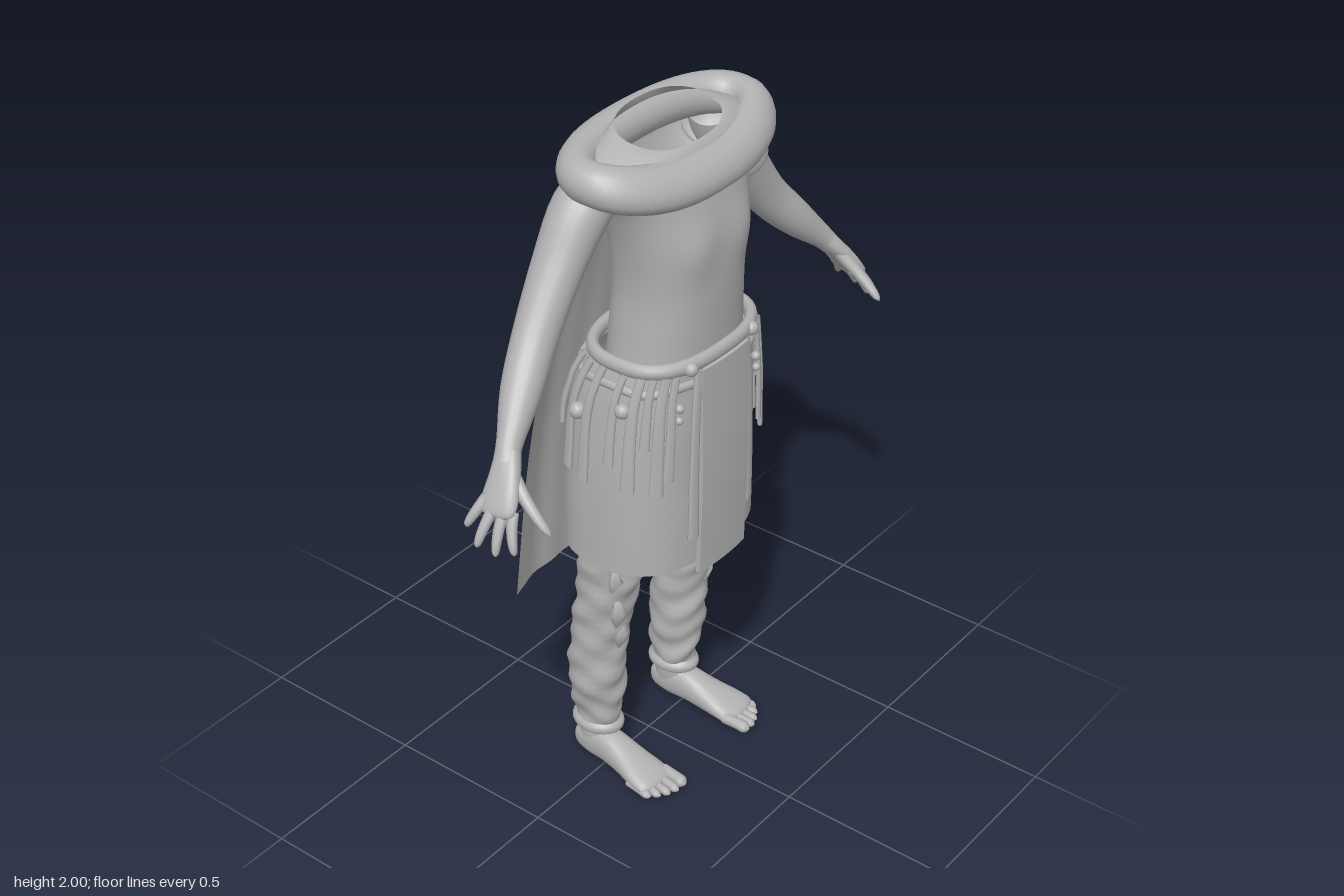
import * as THREE from 'three';

const cloth = new THREE.MeshStandardMaterial({ color: 0xb2b2b2, side: THREE.DoubleSide });
cloth.name = 'plain grey';

const V = (x, y, z) => new THREE.Vector3(x, y, z);
const spow = (c, n) => Math.sign(c) * Math.abs(c) ** (2 / n);

// Grid surface from a point rule f(u, v), with u optionally wrapped
function grid(f, nu, nv, wrapU = true, wrapV = false) {
  const pos = [], idx = [], cu = wrapU ? nu : nu + 1, rows = wrapV ? nv : nv + 1;
  for (let j = 0; j < rows; j++)
    for (let i = 0; i < cu; i++) pos.push(...f(i / nu, j / nv).toArray());
  for (let j = 0; j < nv; j++)
    for (let i = 0; i < nu; i++) {
      const i2 = (i + 1) % cu, j2 = (j + 1) % rows;
      const a = j * cu + i, b = j * cu + i2, c = j2 * cu + i, d = j2 * cu + i2;
      idx.push(a, b, d, a, d, c);
    }
  const g = new THREE.BufferGeometry();
  g.setAttribute('position', new THREE.Float32BufferAttribute(pos, 3));
  g.setIndex(idx);
  g.computeVertexNormals();
  return g;
}

// Smooth interpolation through rows of numbers
function sample(rows, t) {
  const m = rows.length - 1, k = Math.min(m - 1, Math.floor(t * m)), f = t * m - k;
  const at = i => rows[Math.max(0, Math.min(m, i))];
  return rows[0].map((_, c) => {
    const [p, q, r, s] = [at(k - 1)[c], at(k)[c], at(k + 1)[c], at(k + 2)[c]];
    return q + 0.5 * f * (r - p + f * (2 * p - 5 * q + 4 * r - s + f * (3 * (q - r) + s - p)));
  });
}

// Loft along rows of [x, y, z, radius along ref, radius across]
function limb(rows, ref, { seg = 16, steps = 4, n = 2, upright = false, warp } = {}) {
  const nv = (rows.length - 1) * steps;
  return grid((u, v) => {
    const r = sample(rows, v), c = V(...r.slice(0, 3));
    const T = upright ? V(0, 1, 0) : V(...sample(rows, Math.min(1, v + 0.01)).slice(0, 3))
      .sub(V(...sample(rows, Math.max(0, v - 0.01)).slice(0, 3))).normalize();
    const N = ref.clone().addScaledVector(T, -T.dot(ref)).normalize();
    const B = T.clone().cross(N), a = u * Math.PI * 2;
    const p = c.addScaledVector(N, Math.max(0.0005, r[3]) * spow(Math.cos(a), n))
      .addScaledVector(B, Math.max(0.0005, r[4]) * spow(Math.sin(a), n));
    if (warp) warp(p, a, v);
    return p;
  }, seg, nv);
}

const X = V(1, 0, 0), Z = V(0, 0, 1);

// Skirt rows, bottom to top, shared with everything that hangs on it
const skirtRows = [
  [0, 0.755, 0.035, 0.275, 0.205], [0, 0.9, 0.035, 0.275, 0.205], [0, 1.05, 0.038, 0.272, 0.2],
  [0, 1.2, 0.043, 0.262, 0.197], [0, 1.3, 0.055, 0.25, 0.18], [0, 1.39, 0.08, 0.225, 0.155]];
function skirtPoint(a, y, out) {
  let k = 0;
  while (k < skirtRows.length - 2 && skirtRows[k + 1][1] < y) k++;
  const p = skirtRows[k], q = skirtRows[k + 1], f = (y - p[1]) / (q[1] - p[1]);
  const mix = i => p[i] + (q[i] - p[i]) * f;
  return V((mix(3) + out) * spow(Math.cos(a), 2.6), y, mix(2) + (mix(4) + out) * spow(Math.sin(a), 2.6));
}

export function createModel() {
  const model = new THREE.Group();
  const add = (name, geo, parent = model) => {
    const m = new THREE.Mesh(geo, cloth);
    m.name = name;
    parent.add(m);
    return m;
  };

  // Torso with chest swell and open neck
  add('torso', limb([
    [0, 1.35, 0.085, 0.205, 0.145], [0, 1.45, 0.09, 0.195, 0.145], [0, 1.57, 0.095, 0.188, 0.145],
    [0, 1.7, 0.092, 0.205, 0.145], [0, 1.8, 0.075, 0.235, 0.145], [0, 1.88, 0.06, 0.28, 0.14],
    [0, 1.935, 0.06, 0.26, 0.12], [0, 1.965, 0.06, 0.2, 0.105], [0, 1.975, 0.06, 0.165, 0.1]],
  X, { seg: 48, n: 2.3, upright: true, warp: (p, a, v) => {
    if (p.z > 0.1) p.z += 0.014 * Math.exp(-(((Math.abs(p.x) - 0.1) / 0.06) ** 2) - ((p.y - 1.69) / 0.07) ** 2);
    if (v > 0.7) p.y += Math.sin(a) * 0.025 * (v - 0.7) / 0.3;
  } }));

  // Rolled cowl around the shoulders, dipping at the front
  add('cowl', grid((u, v) => {
    const a = v * Math.PI * 2, b = u * Math.PI * 2, s = Math.sin(a), front = Math.max(0, s);
    const y = 1.918 - 0.04 * front ** 2 + 0.008 * Math.max(0, -s);
    const out = 0.053 * Math.cos(b) - 0.018 * front * Math.sin(b);
    return V((0.305 + out) * spow(Math.cos(a), 2.3), y + 0.056 * Math.sin(b), 0.06 + (0.13 + out) * spow(s, 2.3));
  }, 16, 56, true, true));

  // Cape
  const capeRows = [[1.93, 0.2, -0.09], [1.7, 0.215, -0.108], [1.4, 0.238, -0.17], [1.0, 0.265, -0.233], [0.535, 0.288, -0.272]];
  add('cape', grid((u, v) => {
    const [y, w, z] = sample(capeRows, v), k = u * 2 - 1;
    return V(w * k, y, z + 0.035 * k ** 4 + 0.003 * v * Math.sin(k * 13));
  }, 28, 24, false));

  // Skirt and belts
  add('skirt', limb(skirtRows, X, { seg: 56, n: 2.6, upright: true }));
  const ring = (name, y, out, rx, ry, dip) => add(name, grid((u, v) => {
    const a = v * Math.PI * 2, b = u * Math.PI * 2;
    return skirtPoint(a, y + dip * Math.cos(a * 6), out + rx * Math.cos(b)).add(V(0, ry * Math.sin(b), 0));
  }, 10, 60, true, true));
  ring('belt', 1.378, 0.002, 0.016, 0.022, 0);
  ring('lowerBelt', 1.318, 0.003, 0.009, 0.013, 0.004);

  // Front panel, gently bowed
  const panel = new THREE.BoxGeometry(0.2, 0.635, 0.012, 8, 12, 1);
  const pp = panel.attributes.position;
  for (let i = 0; i < pp.count; i++)
    pp.setZ(i, pp.getZ(i) + 0.252 - 0.6 * pp.getX(i) ** 2 + 0.004 * Math.cos(pp.getY(i) * 7));
  panel.computeVertexNormals();
  add('frontPanel', panel).position.y = 1.0425;

  // Hanging strips: angle from the side, lower end, half width
  const strips = [[71, 0.85, 0.016], [52, 1.06, 0.014], [43, 1.02, 0.018], [33, 1.16, 0.013],
    [22, 1.03, 0.018], [8, 1.1, 0.014], [-6, 1.02, 0.016], [-20, 1.04, 0.016], [-34, 1.15, 0.014]];
  const around = (s, deg) => s > 0 ? deg * Math.PI / 180 : Math.PI - deg * Math.PI / 180;

  for (const s of [1, -1]) {
    const side = s > 0 ? 'left' : 'right';

    const hang = new THREE.Group();
    hang.name = side + 'HangingStrips';
    model.add(hang);
    strips.forEach(([deg, low, w], i) => {
      const a = around(s, deg), rows = [];
      for (let k = 0; k <= 4; k++) {
        const p = skirtPoint(a, 1.365 + (low - 1.365) * k / 4, 0.012 + 0.003 * (i % 3));
        rows.push([p.x, p.y, p.z, w * (0.7 + 0.1 * k), 0.007]);
      }
      const tangent = skirtPoint(a + 0.05, 1.2, 0).sub(skirtPoint(a - 0.05, 1.2, 0)).normalize();
      add('strip', limb(rows, tangent, { seg: 10, n: 3 }), hang);
    });
    // Beads and small charms
    for (const [deg, y, r] of [[64, 1.375, 0.02], [58, 1.27, 0.013], [58, 1.235, 0.011], [14, 1.27, 0.022], [-14, 1.22, 0.024]])
      add('charm', new THREE.SphereGeometry(r, 12, 8), hang).position.copy(skirtPoint(around(s, deg), y, 0.014));

    // Arm
    add(side + 'Arm', limb([
      [0.2, 1.875, 0.02, 0.07, 0.06], [0.285, 1.83, 0.015, 0.077, 0.075], [0.37, 1.71, 0.01, 0.068, 0.066],
      [0.475, 1.56, 0.02, 0.058, 0.06], [0.57, 1.455, 0.05, 0.052, 0.052], [0.655, 1.37, 0.085, 0.034, 0.034],
      [0.69, 1.33, 0.1, 0.034, 0.028]].map(([x, ...r]) => [s * x, ...r]), Z, { seg: 20 }));

    // Hand: palm, four fingers and thumb
    const hand = new THREE.Group();
    hand.name = side + 'Hand';
    model.add(hand);
    add('palm', limb([[0.665, 1.36, 0.09, 0.03, 0.027], [0.705, 1.31, 0.11, 0.042, 0.024],
      [0.74, 1.262, 0.122, 0.052, 0.02], [0.762, 1.232, 0.127, 0.046, 0.013], [0.768, 1.224, 0.128, 0, 0]]
      .map(([x, ...r]) => [s * x, ...r]), Z, { seg: 16, n: 2.4 }));
    const fingers = [[0.745, 1.255, 0.084, 0.795, 1.185, 0.058], [0.752, 1.24, 0.112, 0.815, 1.155, 0.108],
      [0.75, 1.235, 0.14, 0.803, 1.142, 0.158], [0.742, 1.24, 0.163, 0.78, 1.15, 0.2],
      [0.695, 1.31, 0.125, 0.71, 1.195, 0.256]];
    fingers.forEach(([x, y, z, X2, Y2, Z2], i) => {
      const rows = [0, 0.35, 0.7, 0.93, 1].map((t, k) => {
        const r = [0.016, 0.014, 0.012, 0.008, 0][k] * (i === 4 ? 1.2 : 1);
        return [s * (x + (X2 - x) * t + 0.008 * Math.sin(t * 3)), y + (Y2 - y) * t, z + (Z2 - z) * t, r, r];
      });
      add(i === 4 ? 'thumb' : 'finger', limb(rows, Z, { seg: 8, steps: 2 }), hand);
    });

    // Trouser leg with creases and a rolled cuff
    const flip = rows => rows.map(([x, ...r]) => [s * x, ...r]);
    add(side + 'TrouserLeg', limb(flip([
      [0.175, 0.125, -0.045, 0.052, 0.068], [0.178, 0.2, -0.045, 0.06, 0.075], [0.185, 0.3, -0.04, 0.072, 0.085],
      [0.185, 0.45, -0.03, 0.073, 0.082], [0.182, 0.6, -0.005, 0.078, 0.088], [0.175, 0.75, 0.015, 0.088, 0.096],
      [0.145, 1.0, 0.03, 0.11, 0.11], [0.13, 1.2, 0.04, 0.1, 0.12]]), X,
    { seg: 28, steps: 7, upright: true, warp: (p, a) => {
      const k = 0.004 * Math.sin(p.y * 75 + 2 * Math.sin(a * 2 + s)) + 0.003 * Math.sin(p.y * 41 - 3 * a);
      p.x += k * Math.cos(a);
      p.z -= k * Math.sin(a);
    } }));
    add(side + 'Cuff', limb(flip([[0.175, 0.112, -0.045, 0.05, 0.064], [0.175, 0.118, -0.045, 0.061, 0.077],
      [0.175, 0.135, -0.045, 0.063, 0.079], [0.175, 0.15, -0.045, 0.053, 0.068]]), X, { seg: 24, upright: true }));
    // Torn flaps over the knee
    for (const [x, y, z, w] of [[0.235, 0.69, 0.06, 0.022], [0.225, 0.58, 0.062, 0.025], [0.2, 0.49, 0.05, 0.024]])
      add('tornFlap', limb(flip([[x, y + 0.05, z, 0.002, 0.002], [x + 0.004, y, z + 0.014, w, 0.007],
        [x - 0.006, y - 0.06, z - 0.005, 0.002, 0.002]]), V(0.8, 0, -0.6 * s), { seg: 6, steps: 2 }));

    // Bare foot: ankle, foot and five toes
    const foot = new THREE.Group();
    foot.name = side + 'Foot';
    model.add(foot);
    add('ankle', limb(flip([[0.178, 0.04, -0.055, 0.038, 0.055], [0.175, 0.09, -0.05, 0.041, 0.053],
      [0.175, 0.17, -0.045, 0.04, 0.05]]), X, { seg: 18, upright: true }), foot);
    add('sole', limb(flip([[0.176, 0.04, -0.118, 0, 0], [0.176, 0.042, -0.108, 0.027, 0.032],
      [0.177, 0.05, -0.06, 0.04, 0.05], [0.18, 0.052, 0, 0.043, 0.052], [0.186, 0.04, 0.07, 0.051, 0.04],
      [0.194, 0.027, 0.14, 0.063, 0.027], [0.197, 0.018, 0.185, 0.058, 0.017], [0.198, 0.015, 0.197, 0, 0]]),
    X, { seg: 20, n: 2.4, warp: p => { p.y = Math.max(0, p.y); } }), foot);
    [[0.148, 0.25, 0.017], [0.178, 0.248, 0.013], [0.204, 0.238, 0.012], [0.228, 0.222, 0.012], [0.248, 0.202, 0.012]]
      .forEach(([x, tip, r]) => add('toe', limb(flip([[x - 0.004, r + 0.005, tip - 0.085, r, r],
        [x, r + 0.003, tip - 0.04, r, r], [x + 0.002, r, tip - 0.012, r, r * 0.95], [x + 0.002, r, tip, 0, 0]]),
      X, { seg: 10, steps: 3 }), foot));
  }

  // Shoulder cap and two bands on the left arm only
  add('shoulderCap', limb([[0.25, 1.905, 0.012, 0.075, 0.07], [0.285, 1.85, 0.012, 0.09, 0.088],
    [0.325, 1.785, 0.01, 0.085, 0.082], [0.328, 1.78, 0.01, 0.07, 0.07]], Z, { seg: 24 }));
  for (const [x, y, r] of [[0.342, 1.755, 0.08], [0.368, 1.717, 0.077]])
    add('armBand', limb([[x - 0.014, y + 0.02, 0.01, r - 0.014, r - 0.014], [x - 0.01, y + 0.014, 0.01, r, r],
      [x + 0.01, y - 0.014, 0.01, r, r], [x + 0.014, y - 0.02, 0.01, r - 0.014, r - 0.014]], Z, { seg: 24 }));

  return model;
}
